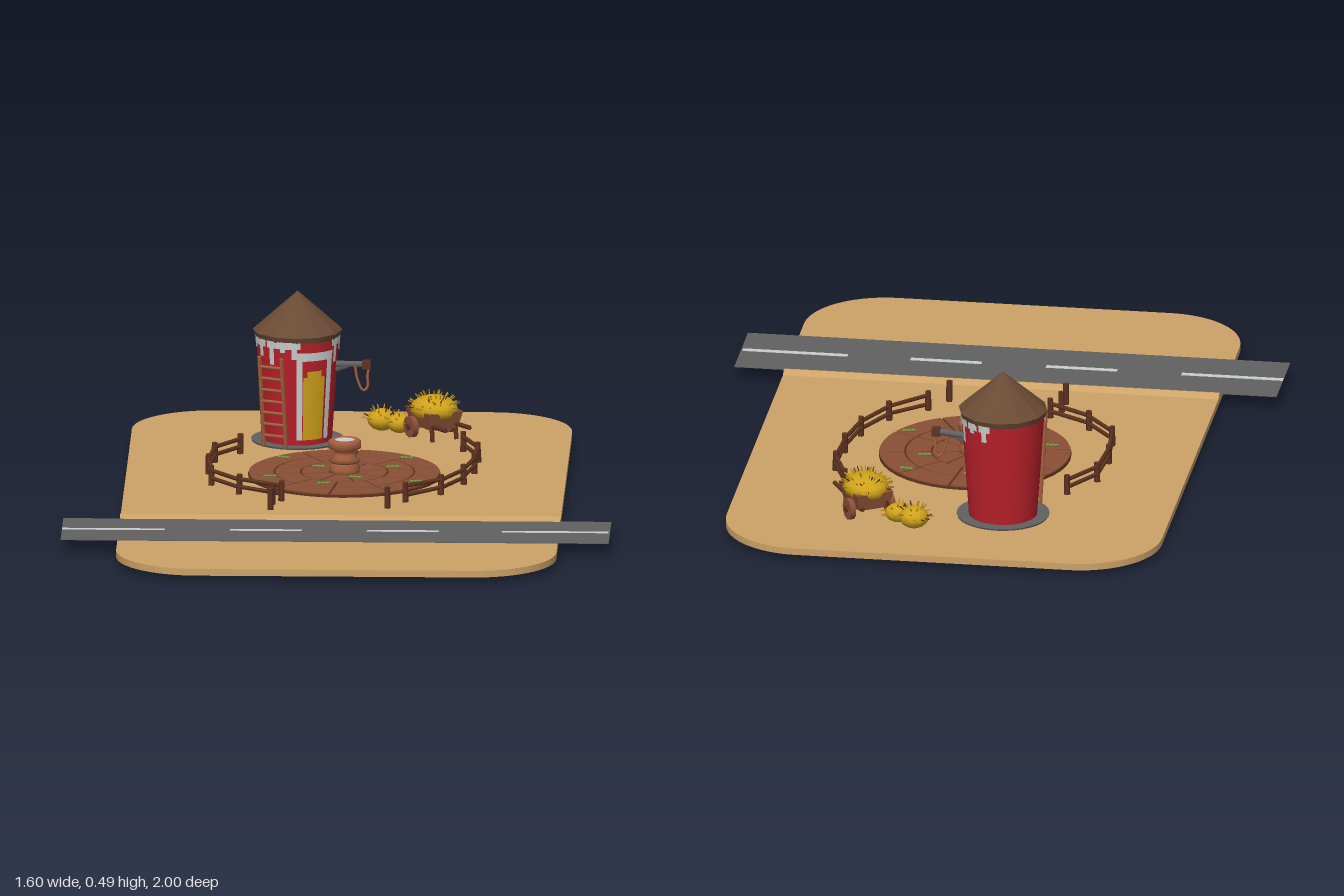
import * as THREE from 'three';

const mat = (name, color, side = THREE.FrontSide) => {
  const m = new THREE.MeshStandardMaterial({ color, side });
  m.name = name;
  return m;
};

export function createModel() {
  const root = new THREE.Group();
  root.name = 'farmyard';
  const sand = mat('sand', 0xcca267), asphalt = mat('asphalt', 0x616161, THREE.DoubleSide);
  const red = mat('red paint', 0xb8202a), roofBrown = mat('roof brown', 0x6a4a34);
  const darkWood = mat('dark wood', 0x5f3320), terracotta = mat('terracotta', 0xa9623f);
  const tile = mat('clay tile', 0x8a5036), straw = mat('straw', 0xcfa21a, THREE.DoubleSide);
  const white = mat('pale trim', 0xc9cecc, THREE.DoubleSide), leaf = mat('leaf', 0x6f9c42, THREE.DoubleSide);
  const G = 0.038; // ground height
  let seed = 7;
  const rnd = () => (seed = (seed * 16807) % 2147483647) / 2147483647;

  const add = (name, geo, material, x = 0, y = 0, z = 0, parent = root) => {
    const m = new THREE.Mesh(geo, material);
    m.name = name;
    m.position.set(x, y, z);
    parent.add(m);
    return m;
  };
  const group = (name, x, y, z, ry = 0, parent = root) => {
    const g = new THREE.Group();
    g.name = name;
    g.position.set(x, y, z);
    g.rotation.y = ry;
    parent.add(g);
    return g;
  };
  const up = new THREE.Vector3(0, 1, 0);
  // square or round bar between two points
  const bar = (name, a, b, r, material, parent = root, sides = 5) => {
    const p = new THREE.Vector3(...a), q = new THREE.Vector3(...b), d = q.clone().sub(p);
    const m = add(name, new THREE.CylinderGeometry(r, r, d.length(), sides), material, 0, 0, 0, parent);
    m.position.copy(p.add(q).multiplyScalar(0.5));
    m.quaternion.setFromUnitVectors(up, d.normalize());
    return m;
  };

  // ground slab with rounded corners
  const [W, L, R] = [0.6425, 1, 0.24];
  const s = new THREE.Shape();
  s.absarc(W - R, L - R, R, 0, Math.PI / 2);
  s.absarc(R - W, L - R, R, Math.PI / 2, Math.PI);
  s.absarc(R - W, R - L, R, Math.PI, Math.PI * 1.5);
  s.absarc(W - R, R - L, R, Math.PI * 1.5, Math.PI * 2);
  const slab = new THREE.ExtrudeGeometry(s, { depth: G - 0.018, bevelEnabled: false, curveSegments: 10 });
  add('ground', slab.rotateX(-Math.PI / 2), sand, 0.008, 0.018, 0);

  // low bank along the road
  const bank = new THREE.Shape([[-0.4, 0.03], [-0.386, 0.044], [-0.365, 0.051], [-0.335, 0.03]].map(p => new THREE.Vector2(...p)).reverse());
  add('roadBank', new THREE.ExtrudeGeometry(bank, { depth: 1.285, bevelEnabled: false })
    .rotateY(Math.PI / 2), sand, -0.6345, 0, 0);

  // road and lane dashes
  add('road', new THREE.BoxGeometry(1.6, 0.002, 0.27), asphalt, 0, 0.0405, 0.52);
  for (const [a, b] of [[-0.8, -0.5], [-0.31, -0.1], [0.09, 0.3], [0.485, 0.795]])
    add('laneDash', new THREE.BoxGeometry(b - a, 0.001, 0.019), white, (a + b) / 2, 0.0419, 0.52);

  // silo
  const silo = group('silo', -0.147, 0, -0.64);
  add('siloFooting', new THREE.CylinderGeometry(0.136, 0.118, 0.043, 32), asphalt, 0, 0.0215, 0, silo);
  const radius = y => 0.1 + 0.022 * (y - 0.04) / 0.32;
  add('siloWall', new THREE.CylinderGeometry(radius(0.36), radius(0.04), 0.32, 24), red, 0, 0.2, 0, silo);
  add('siloRoof', new THREE.ConeGeometry(0.131, 0.115, 12).toNonIndexed(), roofBrown, 0, 0.4275, 0, silo)
    .geometry.computeVertexNormals();
  add('roofEave', new THREE.CylinderGeometry(0.131, 0.125, 0.018, 12), roofBrown, 0, 0.361, 0, silo);
  // curved plate hugging the wall
  const plate = (name, y0, y1, t0, t1, off, material) =>
    add(name, new THREE.CylinderGeometry(radius(y1) + off, radius(y0) + off, y1 - y0, 6, 1, true, t0, t1 - t0),
      material, 0, (y0 + y1) / 2, 0, silo);
  plate('doorJamb', 0.06, 0.325, 0.0, 0.15, 0.006, white);
  plate('doorJamb', 0.06, 0.325, 0.8, 0.96, 0.006, white);
  plate('doorLintel', 0.3, 0.325, 0.0, 0.96, 0.007, white);
  plate('doorPanel', 0.06, 0.25, 0.17, 0.76, 0.004, straw);
  plate('doorPanelTop', 0.25, 0.268, 0.27, 0.66, 0.004, straw);
  // pale drips under the eave
  [-1.35, -1.05, -0.7, -0.4, -0.12, 1.05, 1.35, 1.7, 2.05, 2.4, 2.75].forEach((t, i) => {
    plate('paintDrip', 0.325 - 0.02 * (i % 3), 0.356, t, t + 0.13, 0.004, white);
    plate('paintRun', 0.335, 0.356, t - 0.08, t + 0.22, 0.003, white);
  });

  // ladder leaning on the silo
  const ladder = group('ladder', -0.215, 0, -0.52, -0.45);
  for (const x of [-0.036, 0.036])
    bar('ladderRail', [x, G, -0.012], [x, 0.315, 0.018], 0.007, terracotta, ladder, 4);
  for (let i = 0; i < 7; i++) {
    const y = 0.075 + i * 0.035;
    bar('ladderRung', [-0.038, y, -0.012 + (y - G) * 0.11], [0.038, y, -0.012 + (y - G) * 0.11], 0.005, terracotta, ladder);
  }

  // hoist arm with hanging rope
  bar('hoistArm', [-0.04, 0.27, -0.622], [0.05, 0.273, -0.607], 0.01, asphalt, root, 8);
  bar('hoistBrace', [-0.035, 0.255, -0.622], [0.0, 0.268, -0.615], 0.009, asphalt);
  add('hoistEnd', new THREE.BoxGeometry(0.024, 0.024, 0.024), darkWood, 0.055, 0.272, -0.606);
  const rope = new THREE.CatmullRomCurve3([[0.022, 0.268], [0.028, 0.23], [0.045, 0.195], [0.058, 0.205], [0.058, 0.24], [0.064, 0.27]]
    .map(([x, y]) => new THREE.Vector3(x, y, -0.606)));
  add('rope', new THREE.TubeGeometry(rope, 20, 0.004, 5), terracotta);

  // round tiled patch
  const patch = group('tiledPatch', 0.003, 0, -0.19);
  add('patchBase', new THREE.CylinderGeometry(0.281, 0.281, 0.012, 40), darkWood, 0, G + 0.002, 0, patch);
  const sector = (r0, r1, a0, a1) => {
    const g = 0.0035, sh = new THREE.Shape();
    sh.absarc(0, 0, r1, a0 + g / r1, a1 - g / r1, false);
    sh.absarc(0, 0, r0, a1 - g / r0, a0 + g / r0, true);
    return new THREE.ExtrudeGeometry(sh, { depth: 0.009, bevelEnabled: false, curveSegments: 6 }).rotateX(-Math.PI / 2);
  };
  [[0.045, 0.124], [0.13, 0.201], [0.207, 0.279]].forEach(([r0, r1], ring) => {
    const n = ring ? 10 : 8;
    for (let i = 0; i < n; i++)
      add('tile', sector(r0, r1, (i + 0.3) * 2 * Math.PI / n, (i + 1.3) * 2 * Math.PI / n), tile, 0, G + 0.003, 0, patch);
  });

  // sprouts on the tiles
  const spots = [[-0.18, -0.355], [-0.01, -0.37], [0.18, -0.36], [-0.074, -0.244], [0.143, -0.244],
    [-0.212, -0.117], [0.037, -0.111], [-0.053, -0.032], [0.217, -0.064]];
  for (const [x, z] of spots) {
    const sprout = group('sprout', x, G + 0.012, z, rnd() * 0.8);
    for (const d of [-1, 0, 1]) {
      const l = add('sproutLeaf', new THREE.SphereGeometry(0.009, 6, 4), leaf, d * 0.012, 0.003, (d % 2) * 0.005, sprout);
      l.scale.set(1, 0.4, 0.65);
    }
  }

  // clay pot in the middle
  const pot = [[0, 0.04], [0.04, 0.04], [0.045, 0.06], [0.04, 0.08], [0.032, 0.105], [0.034, 0.118], [0.048, 0.122],
    [0.048, 0.142], [0.042, 0.147], [0.03, 0.147], [0.028, 0.138]].map(p => new THREE.Vector2(...p));
  add('clayPot', new THREE.LatheGeometry(pot, 20), terracotta, 0.004, 0, -0.19);
  add('potBand', new THREE.TorusGeometry(0.04, 0.006, 6, 20).rotateX(Math.PI / 2), tile, 0.004, 0.085, -0.19);
  add('potFilling', new THREE.CylinderGeometry(0.03, 0.03, 0.008, 20), white, 0.004, 0.141, -0.19);

  // curved fences and loose posts
  const post = (x, z, h) => {
    const p = add('fencePost', new THREE.CylinderGeometry(0.009, 0.01, h, 5), darkWood, x, G + h / 2, z);
    p.rotation.set((rnd() - 0.5) * 0.1, rnd() * 3, (rnd() - 0.5) * 0.1);
  };
  const fences = [
    [[-0.308, -0.456], [-0.38, -0.345], [-0.393, -0.2], [-0.382, -0.058], [-0.297, 0.053], [-0.17, 0.133]],
    [[0.34, -0.504], [0.387, -0.37], [0.382, -0.228], [0.355, -0.09], [0.292, 0.042], [0.19, 0.138]]];
  for (const pts of fences) pts.forEach(([x, z], i) => {
    post(x, z, 0.06);
    if (i) for (const y of [0.06, 0.083])
      bar('fenceRail', [pts[i - 1][0], y, pts[i - 1][1]], [x, y + (rnd() - 0.5) * 0.008, z], 0.0065, darkWood);
  });
  for (const [x, z] of [[-0.196, 0.18], [-0.2, 0.245], [0.14, 0.217]]) post(x, z, 0.064);

  // straw heap: flattened ball with spikes
  const heap = (name, x, y, z, rx, ry, rz, n, parent = root) => {
    const g = group(name, x, y, z, 0, parent);
    add('heapBody', new THREE.SphereGeometry(1, 12, 8), straw, 0, 0, 0, g).scale.set(rx, ry, rz);
    for (let i = 0; i < n; i++) {
      const a = i * 2.4, v = rnd() * 0.95, c = Math.sqrt(1 - v * v);
      const d = new THREE.Vector3(c * Math.cos(a), v, c * Math.sin(a));
      const b = [d.x * rx * 0.95, d.y * ry * 0.95, d.z * rz * 0.95];
      bar('strawStalk', b, [b[0] + d.x * 0.016, b[1] + d.y * 0.016, b[2] + d.z * 0.016], 0.0022, i % 4 ? straw : darkWood, g, 3);
    }
  };
  heap('strawHeap', 0.095, 0.068, -0.775, 0.043, 0.032, 0.045, 26);
  heap('strawHeap', 0.148, 0.065, -0.74, 0.038, 0.028, 0.034, 20);

  // hand cart loaded with straw
  const cart = group('handCart', 0.25, 0, -0.69, 0.55);
  const tub = new THREE.BoxGeometry(0.115, 0.05, 0.14);
  const pos = tub.attributes.position;
  for (let i = 0; i < pos.count; i++) if (pos.getY(i) < 0) pos.setXYZ(i, pos.getX(i) * 0.8, pos.getY(i), pos.getZ(i) * 0.85);
  tub.computeVertexNormals();
  add('cartTub', tub, tile, 0, 0.097, 0, cart);
  heap('cartStraw', 0, 0.122, 0, 0.067, 0.04, 0.078, 60, cart);
  for (const side of [-1, 1]) {
    const wheel = new THREE.CylinderGeometry(0.032, 0.032, 0.016, 12).rotateZ(Math.PI / 2);
    add('cartWheel', wheel, tile, side * 0.063, 0.07, -0.025, cart);
    add('wheelHub', new THREE.CylinderGeometry(0.01, 0.01, 0.026, 8).rotateZ(Math.PI / 2), darkWood, side * 0.063, 0.07, -0.025, cart);
    bar('cartHandle', [side * 0.04, 0.078, -0.07], [side * 0.04, 0.088, 0.14], 0.007, darkWood, cart);
    bar('cartLeg', [side * 0.04, G, 0.06], [side * 0.04, 0.08, 0.055], 0.007, darkWood, cart);
  }
  bar('cartAxle', [-0.06, 0.07, -0.025], [0.06, 0.07, -0.025], 0.006, darkWood, cart);
  return root;
}
